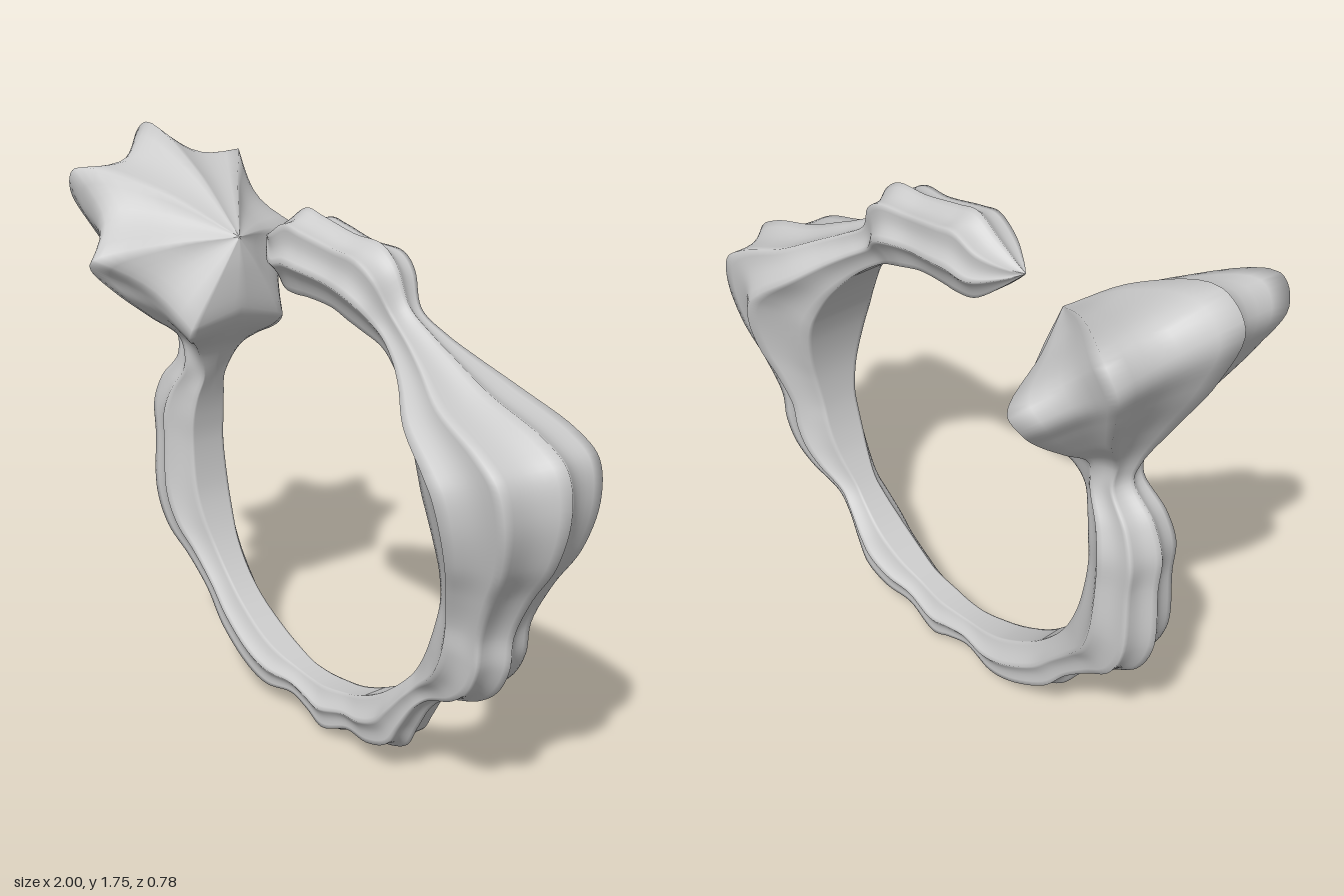
import * as THREE from 'three';

const CY = 0.76, INNER = 0.61; // centre height and radius of the finger hole

// Band stations from the pointed tip round to the neck: [angle, outer radius, half width]
const STATIONS = [
  [110, .785, 0], [107, .79, .04], [101, .815, .095], [95, .85, .11], [90, .835, .112], [80, .82, .102],
  [72, .84, .112], [67, .82, .1], [60, .752, .07], [52, .755, .09], [45, .78, .125], [35, .845, .19],
  [25, .985, .225], [20, 1.043, .232], [13.5, 1.03, .22], [5.4, .964, .19], [-2, .88, .155], [-11, .835, .125],
  [-17.8, .85, .122], [-24, .84, .115], [-30, .8, .1], [-39, .72, .075], [-45, .71, .08], [-53, .742, .09],
  [-59, .78, .092], [-67, .77, .085], [-75, .738, .07], [-85, .763, .075], [-91, .73, .068], [-98, .712, .065],
  [-107, .758, .08], [-115, .769, .085], [-128, .77, .08], [-138, .75, .08], [-148, .777, .09], [-157, .834, .11],
  [-166, .846, .12], [-180, .817, .115], [-188, .829, .115], [-195, .81, .1], [-203, .762, .078],
];

// Ridges of one half: [share of the band's thickness, share of its half width], outer centre to inner centre
const RIDGES = [[1, 0], [.85, .77], [.4, 1], [0, .52], [0, 0]];

// The same ridges carried on through the flared fan: neck, rim, then back to one apex
const APEX = [-.41, 1.465, 0];
const FLARE = [
  [[-.72, 1.13, 0], [-.82, 1.3, 0], [-.94, 1.5, 0], [-1, 1.68, 0], [-.92, 1.752, 0], [-.66, 1.65, 0], APEX],
  [[-.69, 1.13, .06], [-.76, 1.28, .16], [-.85, 1.45, .25], [-.895, 1.57, .3], [-.85, 1.645, .305], [-.63, 1.59, .15], APEX],
  [[-.62, 1.12, .09], [-.63, 1.2, .19], [-.645, 1.29, .3], [-.66, 1.37, .375], [-.62, 1.41, .385], [-.52, 1.45, .18], APEX],
  [[-.53, 1.09, .08], [-.49, 1.13, .12], [-.46, 1.15, .155], [-.44, 1.17, .17], [-.425, 1.2, .17], [-.41, 1.35, .08], APEX],
  [[-.51, 1.1, 0], [-.465, 1.15, 0], [-.44, 1.18, 0], [-.42, 1.21, 0], [-.405, 1.25, 0], [-.4, 1.37, 0], APEX],
];

// One smooth curve per ridge, from the tip to the fan's apex
function ridgeCurve(k) {
  const [depth, width] = RIDGES[k];
  const points = STATIONS.map(([deg, outer, w]) => {
    const a = THREE.MathUtils.degToRad(deg);
    const inner = INNER + 0.175 * Math.max(0, (deg - 97) / 13) ** 2; // underside rises into the tip
    const r = inner + (outer - inner) * depth;
    return new THREE.Vector3(r * Math.cos(a), CY + r * Math.sin(a), w * width);
  });
  FLARE[k].forEach((p) => points.push(new THREE.Vector3(...p)));
  return new THREE.CatmullRomCurve3(points);
}

function scallopedGeometry() {
  const curves = RIDGES.map((_, k) => ridgeCurve(k));
  const rows = (STATIONS.length + FLARE[0].length - 1) * 6;
  const segs = 7, cols = 8 * segs;
  const flareStart = (STATIONS.length - 1) / (STATIONS.length + FLARE[0].length - 1);
  const sag = [1, 1, .6, 0, 0, .6, 1, 1]; // hollow of each panel, none on the inner wall
  const positions = [], index = [];

  for (let i = 0; i <= rows; i++) {
    const t = i / rows;
    const half = curves.map((c) => c.getPoint(t));
    const mirrored = [3, 2, 1].map((k) => half[k].clone().setZ(-half[k].z));
    const ring = [...half, ...mirrored];
    const centre = new THREE.Vector3();
    ring.forEach((p) => centre.addScaledVector(p, 1 / 8));
    const hollow = 0.13 + 0.06 * THREE.MathUtils.smoothstep(t, flareStart, flareStart + 0.06);
    for (let k = 0; k < 8; k++) {
      const a = ring[k], b = ring[(k + 1) % 8];
      for (let s = 0; s < segs; s++) {
        const u = s / segs;
        const p = a.clone().lerp(b, u);
        const pull = centre.clone().sub(p).normalize();
        p.addScaledVector(pull, hollow * sag[k] * 4 * u * (1 - u) * a.distanceTo(b));
        positions.push(p.x, p.y, p.z);
      }
    }
  }
  for (let i = 0; i < rows; i++) {
    for (let j = 0; j < cols; j++) {
      const a = i * cols + j, b = i * cols + (j + 1) % cols;
      index.push(a, b, a + cols, b, b + cols, a + cols);
    }
  }
  const g = new THREE.BufferGeometry();
  g.setAttribute('position', new THREE.Float32BufferAttribute(positions, 3));
  g.setIndex(index);
  g.computeVertexNormals();
  return g;
}

export function createModel() {
  const group = new THREE.Group();
  group.name = 'openRing';
  const band = new THREE.Mesh(scallopedGeometry(), new THREE.MeshStandardMaterial({ color: 0xcccccc }));
  band.name = 'ridgedBandWithFlaredEnd';
  group.add(band);
  return group;
}
